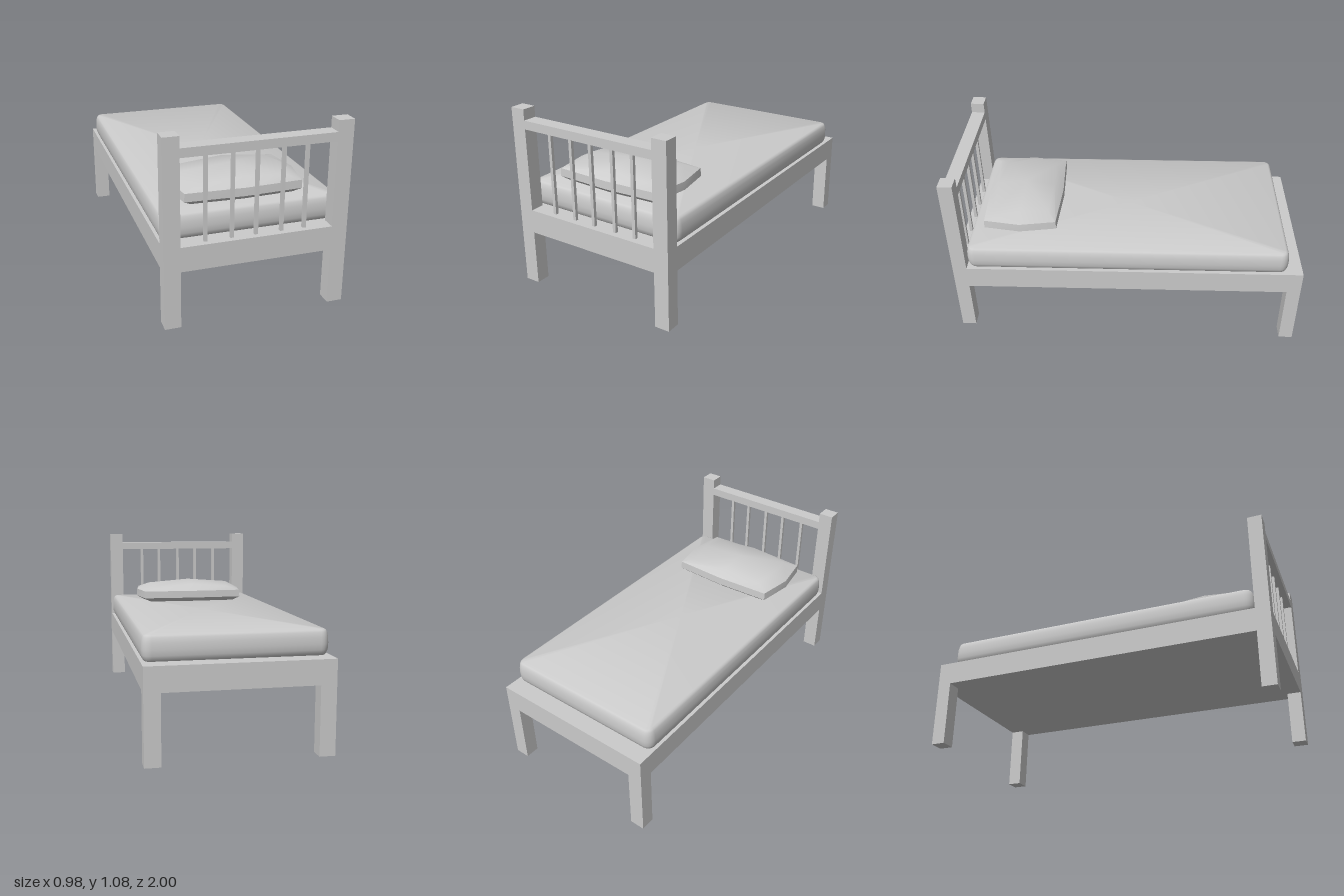
import * as THREE from 'three';
import { toCreasedNormals } from 'three/addons/utils/BufferGeometryUtils.js';

const material = new THREE.MeshStandardMaterial({ color: 0xcccccc });

function add(group, name, geometry) {
  const mesh = new THREE.Mesh(geometry, material);
  mesh.name = name;
  group.add(mesh);
  return mesh;
}

// Box given by its minimum and maximum on each axis
function box(group, name, [x0, x1], [y0, y1], [z0, z1]) {
  const mesh = add(group, name, new THREE.BoxGeometry(x1 - x0, y1 - y0, z1 - z0));
  mesh.position.set((x0 + x1) / 2, (y0 + y1) / 2, (z0 + z1) / 2);
}

// Skin stacked rings (counter-clockwise from above) and close both ends
function loft(rings, bottomY, topY, crease) {
  const n = rings[0].length;
  const last = (rings.length - 1) * n;
  const positions = rings.flat(2);
  const index = [];
  const bottom = rings.length * n, top = bottom + 1;
  positions.push(0, bottomY, 0, 0, topY, 0);
  for (let i = 0; i < n; i++) {
    const j = (i + 1) % n;
    for (let r = 0; r < last; r += n) {
      index.push(r + i, r + j, r + n + j, r + i, r + n + j, r + n + i);
    }
    index.push(bottom, j, i, top, last + i, last + j);
  }
  const geometry = new THREE.BufferGeometry();
  geometry.setAttribute('position', new THREE.Float32BufferAttribute(positions, 3));
  geometry.setIndex(index);
  return toCreasedNormals(geometry, crease);
}

// Rounded rectangle ring at height y
function roundedRing(hx, hz, radius, y) {
  const ring = [];
  const steps = 5;
  [[1, -1], [-1, -1], [-1, 1], [1, 1]].forEach(([sx, sz], corner) => {
    for (let k = 0; k <= steps; k++) {
      const a = (corner + k / steps) * Math.PI / 2;
      ring.push([
        sx * (hx - radius) + radius * Math.cos(a), y,
        sz * (hz - radius) - radius * Math.sin(a),
      ]);
    }
  });
  return ring;
}

// Eight-point pillow ring: bowed sides, corners may drop below the middles
function pillowRing(scale, y, cornerDrop = 0) {
  const outline = [[0.355, 0], [0.322, -0.208], [0, -0.223], [-0.322, -0.208],
    [-0.355, 0], [-0.322, 0.208], [0, 0.223], [0.322, 0.208]];
  return outline.map(([x, z], i) => [x * scale, y - (i % 2) * cornerDrop, z * scale]);
}

export function createModel() {
  const bed = new THREE.Group();
  bed.name = 'bed';

  // Corner posts: tall at the head, short at the foot
  for (const [side, sign] of [['left', 1], ['right', -1]]) {
    const x = [0.405 * sign, 0.49 * sign].sort((a, b) => a - b);
    box(bed, side + 'HeadPost', x, [0.06, 1.075], [0.92, 1]);
    box(bed, side + 'FootLeg', x, [0, 0.505], [-1, -0.92]);
  }

  // Base and end rails
  box(bed, 'bedBase', [-0.49, 0.49], [0.372, 0.505], [-0.92, 0.92]);
  box(bed, 'headRail', [-0.405, 0.405], [0.372, 0.505], [0.92, 1]);
  box(bed, 'footRail', [-0.405, 0.405], [0.372, 0.505], [-1, -0.92]);
  box(bed, 'topRail', [-0.405, 0.405], [0.967, 1.015], [0.92, 1]);

  // Headboard spindles
  [-0.267, -0.128, 0, 0.138, 0.263].forEach((x, i) => {
    box(bed, 'spindle' + (i + 1), [x - 0.009, x + 0.009], [0.505, 0.967], [0.951, 0.969]);
  });

  // Mattress: rounded edges following [height, inset]
  const profile = [[0.505, 0.018], [0.515, 0.009], [0.535, 0.002], [0.565, 0],
    [0.6, 0.002], [0.625, 0.008], [0.635, 0.014], [0.64, 0.024]];
  const rings = profile.map(([y, inset]) =>
    roundedRing(0.485 - inset, 0.915 - inset, 0.05 - inset, y));
  add(bed, 'mattress', loft(rings, 0.505, 0.64, 0.75));

  // Pillow
  const pillow = add(bed, 'pillow', loft([
    pillowRing(0.87, 0.64),
    pillowRing(1, 0.665),
    pillowRing(0.99, 0.71),
    pillowRing(0.76, 0.752, 0.02),
  ], 0.64, 0.773, 0.6));
  pillow.position.set(-0.015, 0, 0.623);

  return bed;
}
